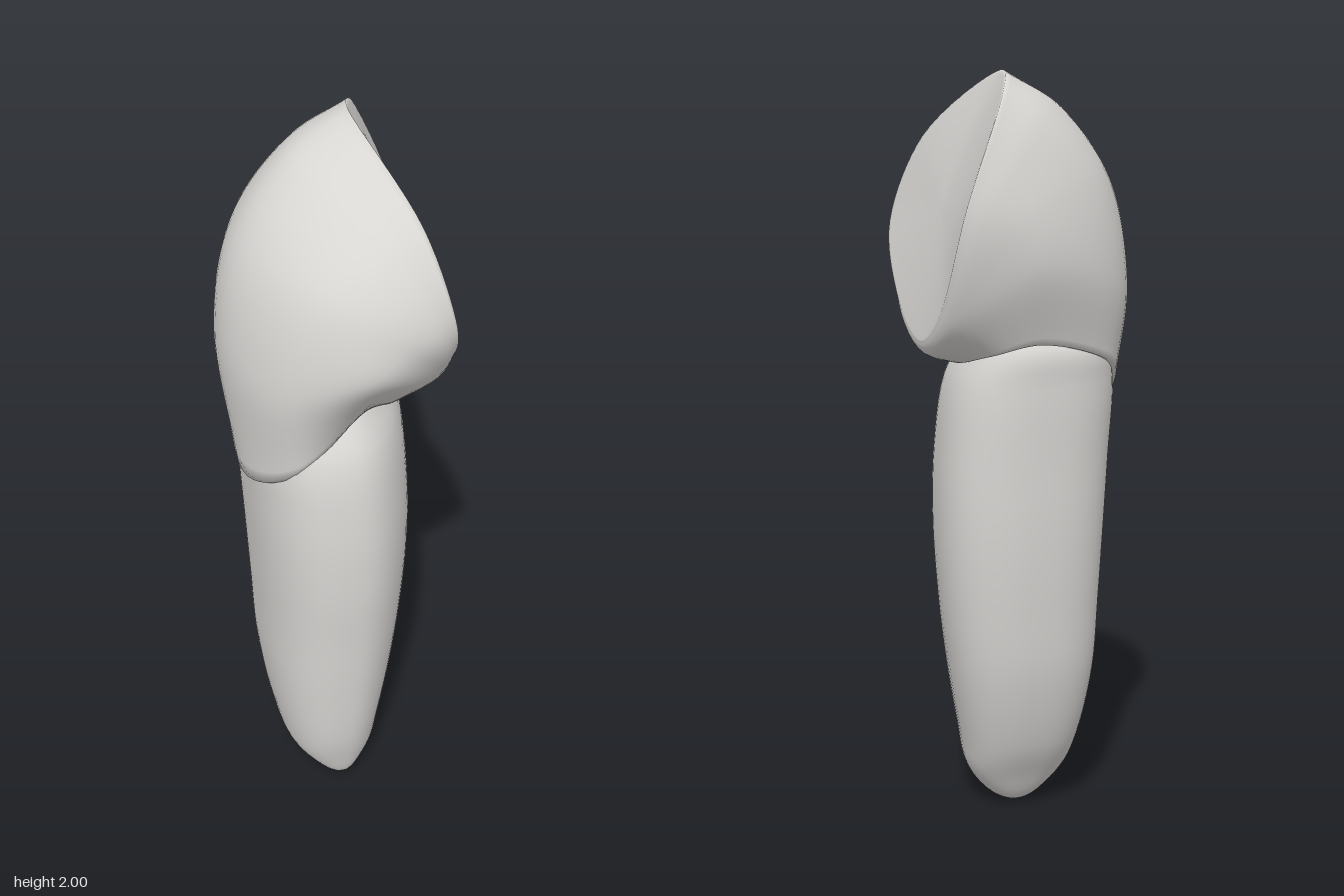
import * as THREE from 'three';

const COLUMNS = 64;
const V = (p) => new THREE.Vector3(...p);

// Skins a stack of closed loops (ordered +x, +z, -x, -z, going upwards).
function skin(rows) {
  const n = rows[0].length, pos = [], index = [];
  rows.forEach((row) => row.forEach((p) => pos.push(p.x, p.y, p.z)));
  for (let r = 0; r < rows.length - 1; r++) {
    for (let i = 0; i < n; i++) {
      const a = r * n + i, b = r * n + (i + 1) % n;
      index.push(a, a + n, b, b, a + n, b + n);
    }
  }
  const g = new THREE.BufferGeometry();
  g.setAttribute('position', new THREE.Float32BufferAttribute(pos, 3));
  g.setIndex(index);
  g.computeVertexNormals();
  return g;
}

// Smooth closed loop through a few points.
function closedLoop(points) {
  const curve = new THREE.CatmullRomCurve3(points.map(V), true);
  return Array.from({ length: COLUMNS }, (_, i) => curve.getPoint(i / COLUMNS));
}

// Adds smooth in-between loops along each column.
function smoothRows(loops, count) {
  const curves = loops[0].map((_, i) => new THREE.CatmullRomCurve3(loops.map((l) => l[i])));
  return Array.from({ length: count + 1 }, (_, r) => curves.map((c) => c.getPoint(r / count)));
}

// Root: egg-shaped sections, narrower at the front, tapering to a blunt double tip.
function rootGeometry() {
  // y, left x, right x, back z, front z
  const levels = [
    [0.0, -0.03, 0.03, -0.01, 0.18],
    [0.02, -0.075, 0.07, -0.045, 0.21],
    [0.1, -0.145, 0.125, -0.095, 0.24],
    [0.2, -0.175, 0.15, -0.15, 0.265],
    [0.4, -0.205, 0.19, -0.21, 0.287],
    [0.6, -0.215, 0.215, -0.235, 0.302],
    [0.8, -0.225, 0.228, -0.25, 0.315],
    [1.0, -0.235, 0.225, -0.256, 0.31],
    [1.2, -0.24, 0.2, -0.262, 0.277],
    [1.3, -0.21, 0.15, -0.258, 0.21],
    [1.4, -0.1, 0.1, -0.16, 0.1],
  ];
  const power = (v) => Math.sign(v) * Math.abs(v) ** 0.8;
  const loops = levels.map(([y, x0, x1, z0, z1]) =>
    Array.from({ length: COLUMNS }, (_, i) => {
      const t = (i / COLUMNS) * Math.PI * 2;
      const c = power(Math.cos(t)), s = power(Math.sin(t));
      const notch = 0.012 * c * c * Math.max(0, 1 - y / 0.1);
      // the +x flank narrows more towards the front than the -x flank
      const narrowing = c > 0 ? (1 - 0.25 * s) / 1.06 : (1 - 0.12 * s) / 1.02;
      return new THREE.Vector3(
        (x0 + x1) / 2 + (x1 - x0) / 2 * c * narrowing,
        y + notch,
        (z0 + z1) / 2 + (z1 - z0) / 2 * s);
    }));
  const cap = (p) => Array.from({ length: COLUMNS }, () => V(p));
  return skin([cap([0, 0.014, 0.085]), ...smoothRows(loops, 50), cap([0, 1.42, -0.03])]);
}

// Crown: a bulging sleeve from the wavy neck line up to the rim of the slanted face.
function crownGeometry() {
  const neck = closedLoop([
    [0.185, 1.25, -0.05], [0.15, 1.28, 0.13], [0.05, 1.315, 0.21], [-0.135, 1.17, 0.25],
    [-0.248, 1.085, 0.09], [-0.2, 1.25, -0.21], [0.02, 1.315, -0.272], [0.14, 1.285, -0.22]]);
  const bulge = closedLoop([
    [0.255, 1.272, -0.1], [0.23, 1.36, 0.18], [0.06, 1.48, 0.349], [-0.17, 1.43, 0.268],
    [-0.29, 1.46, 0.02], [-0.215, 1.46, -0.235], [0.04, 1.5, -0.34], [0.22, 1.355, -0.245]]);
  const shoulder = closedLoop([
    [0.276, 1.285, -0.1], [0.254, 1.385, 0.187], [0.13, 1.56, 0.35], [-0.07, 1.68, 0.285],
    [-0.24, 1.71, 0.0], [-0.15, 1.73, -0.24], [0.1, 1.62, -0.349], [0.25, 1.375, -0.245]]);
  const crest = closedLoop([
    [0.286, 1.3, -0.1], [0.268, 1.403, 0.181], [0.2, 1.585, 0.336], [0.075, 1.79, 0.256],
    [-0.103, 1.9, -0.045], [0.0, 1.88, -0.255], [0.185, 1.655, -0.338], [0.267, 1.39, -0.24]]);
  const rim = closedLoop([
    [0.29, 1.318, -0.1], [0.275, 1.42, 0.17], [0.25, 1.6, 0.31], [0.185, 1.825, 0.222],
    [0.07, 2.0, -0.09], [0.12, 1.94, -0.25], [0.24, 1.66, -0.322], [0.278, 1.405, -0.232]]);

  // Neck edge turned inwards so it meets the root
  const tucked = neck.map((p) => new THREE.Vector3(p.x * 0.75, p.y, p.z * 0.75));

  // Slightly hollow slanted face inside the rim
  const centre = [0.205, 1.65, -0.02];
  const face = [0.97, 0.88, 0.72, 0.55, 0.35, 0.15, 0].map((s) => rim.map((p) => {
    const y = centre[1] + (p.y - centre[1]) * s;
    const z = centre[2] + (p.z - centre[2]) * s;
    const hollow = p.x - centre[0] + 0.3 * (p.y - centre[1]);
    return new THREE.Vector3(centre[0] - 0.3 * (y - centre[1]) + hollow * s * s, y, z);
  }));
  return skin([tucked, ...smoothRows([neck, bulge, shoulder, crest, rim], 40), ...face]);
}

export function createModel() {
  const group = new THREE.Group();
  group.name = 'tooth';
  const enamel = new THREE.MeshStandardMaterial({ color: 0xd8d6d3, side: THREE.DoubleSide });
  enamel.name = 'enamel grey';
  for (const [name, geometry] of [['root', rootGeometry()], ['crown', crownGeometry()]]) {
    const mesh = new THREE.Mesh(geometry, enamel);
    mesh.name = name;
    group.add(mesh);
  }
  return group;
}
